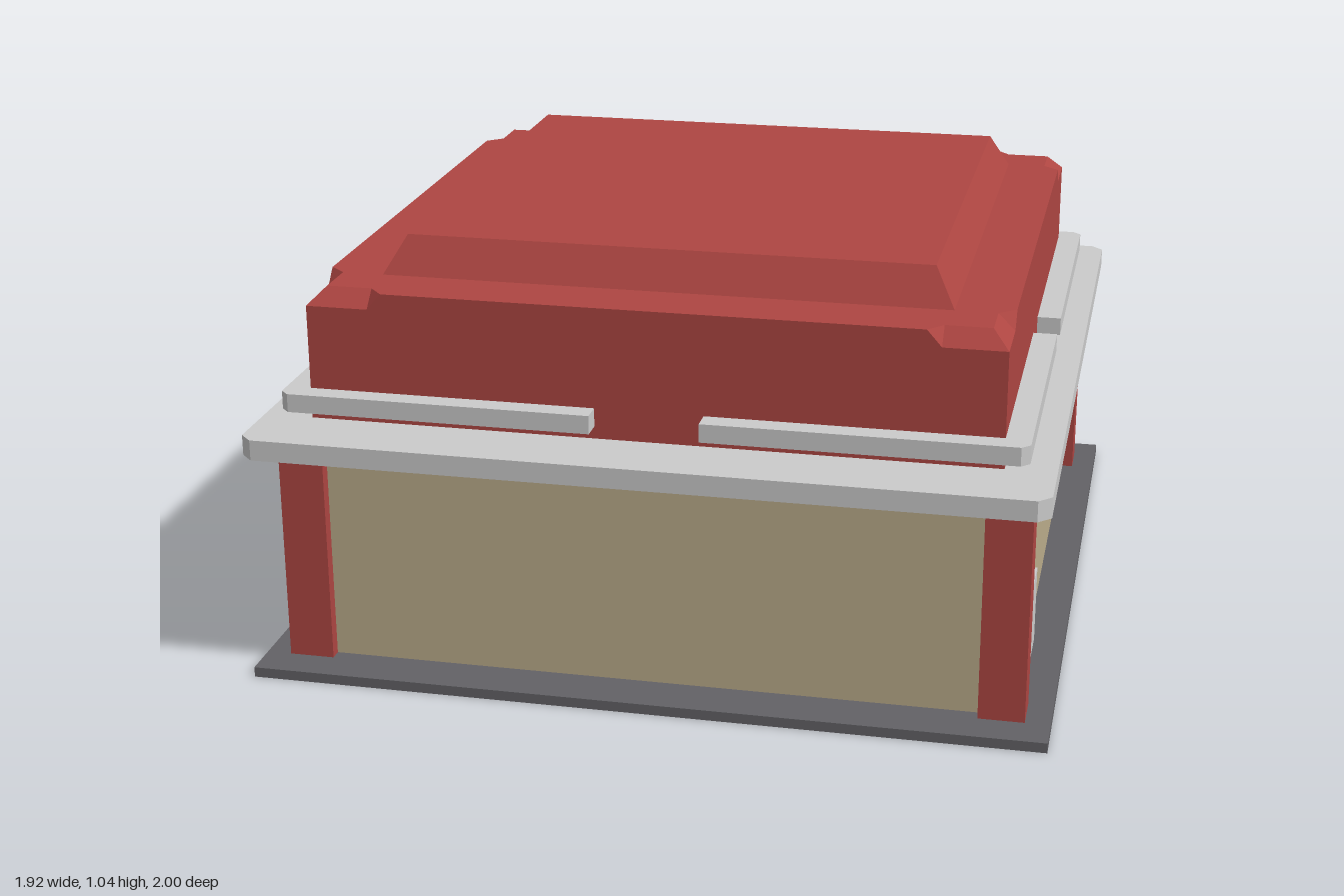
import * as THREE from 'three';

const paint = (name, color) => {
  const m = new THREE.MeshStandardMaterial({ color });
  m.name = name;
  return m;
};

export function createModel() {
  const red = paint('red', 0xae4642);
  const tan = paint('tan', 0xbbac8b);
  const lightGrey = paint('light grey', 0xcbcbcb);
  const darkGrey = paint('dark grey', 0x636266);
  const brick = paint('brick', 0xc48270);
  const darkBrick = paint('dark brick', 0x9c6454);

  const model = new THREE.Group();
  model.name = 'building';

  const add = (name, geometry, material, parent = model) => {
    const mesh = new THREE.Mesh(geometry, material);
    mesh.name = name;
    parent.add(mesh);
    return mesh;
  };
  // Box given by its lower and upper corners
  const box = (name, lo, hi, material) => {
    const g = new THREE.BoxGeometry(hi[0] - lo[0], hi[1] - lo[1], hi[2] - lo[2]);
    g.translate((lo[0] + hi[0]) / 2, (lo[1] + hi[1]) / 2, (lo[2] + hi[2]) / 2);
    return add(name, g, material);
  };
  const shapeOf = (points) => new THREE.Shape(points.map(([x, y]) => new THREE.Vector2(x, y)));
  const rect = (x0, y0, x1, y1) => [[x0, y0], [x1, y0], [x1, y1], [x0, y1]];
  // Horizontal slab from a plan outline
  const slab = (name, shape, y0, y1, material) => {
    const g = new THREE.ExtrudeGeometry(shape, { depth: y1 - y0, bevelEnabled: false });
    g.rotateX(-Math.PI / 2).translate(0, y0, 0);
    return add(name, g, material);
  };

  // Ground plate
  box('base', [-0.96, 0, -0.96], [0.96, 0.025, 0.96], darkGrey);

  // Front and back walls
  for (const s of [1, -1]) {
    const z = [s * 0.84, s * 0.78].sort((a, b) => a - b);
    box(s > 0 ? 'frontWall' : 'backWall', [-0.87, 0.025, z[0]], [0.87, 0.59, z[1]], tan);
  }

  // Side walls with a long window and a recessed frame
  const sideLayer = (name, x, depth, hole) => {
    const shape = shapeOf(rect(-0.78, 0.025, 0.78, 0.59));
    shape.holes.push(new THREE.Path(shapeOf(hole).getPoints()));
    const g = new THREE.ExtrudeGeometry(shape, { depth, bevelEnabled: false });
    g.rotateY(Math.PI / 2).translate(x, 0, 0);
    add(name, g, tan);
  };
  const opening = rect(-0.69, 0.405, 0.755, 0.515);
  const inset = rect(-0.665, 0.43, 0.72, 0.515);
  sideLayer('leftWall', 0.84, 0.03, opening);
  sideLayer('leftWindowFrame', 0.81, 0.03, inset);
  sideLayer('rightWall', -0.87, 0.03, opening);
  sideLayer('rightWindowFrame', -0.84, 0.03, inset);

  // Corner columns
  for (const sx of [1, -1]) for (const sz of [1, -1]) {
    const c = add('cornerColumn', new THREE.BoxGeometry(0.11, 0.56, 0.1), red);
    c.position.set(sx * 0.845, 0.305, sz * 0.82);
  }

  // Service door, and two shuttered openings at the back
  box('sideDoor', [0.865, 0.025, 0.42], [0.885, 0.22, 0.62], lightGrey);
  for (const x of [0.31, -0.46]) {
    box('shutterTop', [x - 0.14, 0.21, -0.844], [x + 0.14, 0.39, -0.838], brick);
    box('shutterBottom', [x - 0.14, 0.025, -0.844], [x + 0.14, 0.21, -0.838], darkBrick);
  }

  // Furnishings seen through the windows
  box('redCounter', [-0.6, 0.025, -0.35], [-0.1, 0.15, 0.2], red);
  box('crate', [0.15, 0.025, -0.7], [0.45, 0.25, -0.4], brick);
  box('crate', [-0.4, 0.025, 0.4], [-0.1, 0.25, 0.65], brick);

  // Eave with clipped corners, open under the roof block
  const ex = 0.945, ez = 1.0, c = 0.03;
  const eave = shapeOf([
    [ex, ez - c], [ex - c, ez], [c - ex, ez], [-ex, ez - c],
    [-ex, c - ez], [c - ex, -ez], [ex - c, -ez], [ex, c - ez],
  ]);
  eave.holes.push(new THREE.Path(shapeOf(rect(-0.8, -0.8, 0.8, 0.8)).getPoints()));
  slab('eave', eave, 0.585, 0.635, lightGrey);

  // Four L-shaped trim bands around the roof block
  for (const sx of [1, -1]) for (const sz of [1, -1]) {
    const band = [
      [0.13, 0.878], [0.865, 0.878], [0.885, 0.858], [0.885, 0.065],
      [0.81, 0.065], [0.81, 0.81], [0.13, 0.81],
    ];
    slab('trimBand', shapeOf(band.map(([x, z]) => [x * sx, z * sz])), 0.665, 0.71, lightGrey);
  }

  // Roof block: straight sides, with the top edges bevelled near the corners
  const roof = new THREE.Group();
  roof.name = 'roof';
  model.add(roof);
  const a = 0.825, b = 0.785, p = 0.64, q = 0.675, lo = 0.915, hi = 0.955;
  const facePoints = [
    [-a, 0.59], [a, 0.59], [a, lo], [q, lo], [p, hi], [-p, hi], [-q, lo], [-a, lo],
  ];
  const bevelTris = [
    [[q, lo, a], [a, lo, a], [b, hi, b]],
    [[q, lo, a], [b, hi, b], [q, hi, b]],
    [[p, hi, a], [q, lo, a], [q, hi, b]],
  ];
  const mirrored = bevelTris.map((t) => t.map(([x, y, z]) => [-x, y, z]).reverse());
  const bevelGeometry = new THREE.BufferGeometry();
  bevelGeometry.setAttribute('position',
    new THREE.Float32BufferAttribute([...bevelTris, ...mirrored].flat(2), 3));
  bevelGeometry.computeVertexNormals();
  const sideGeometry = new THREE.ShapeGeometry(shapeOf(facePoints)).translate(0, 0, a);
  const outline = [];
  for (let i = 0; i < 4; i++) {
    const angle = i * Math.PI / 2;
    add('roofSide', sideGeometry, red, roof).rotation.y = angle;
    add('roofCornerBevel', bevelGeometry, red, roof).rotation.y = angle;
    for (const [x, y] of [[a, p], [b, q], [b, b], [q, b], [p, a]]) {
      outline.push(new THREE.Vector2(x, y).rotateAround(new THREE.Vector2(), angle).toArray());
    }
  }
  add('roofTop', new THREE.ShapeGeometry(shapeOf(outline))
    .rotateX(-Math.PI / 2).translate(0, hi, 0), red, roof);
  add('ceiling', new THREE.PlaneGeometry(2 * a, 2 * a)
    .rotateX(Math.PI / 2).translate(0, 0.59, 0), red, roof);

  // Raised panel with sloping edges on top
  const r = Math.SQRT2;
  const panel = new THREE.CylinderGeometry(0.635 * r, 0.685 * r, 0.09, 4, 1).toNonIndexed();
  panel.rotateY(Math.PI / 4).scale(1, 1, 0.985).translate(0, 1.0, 0);
  panel.computeVertexNormals();
  add('roofPanel', panel, red, roof);

  return model;
}
